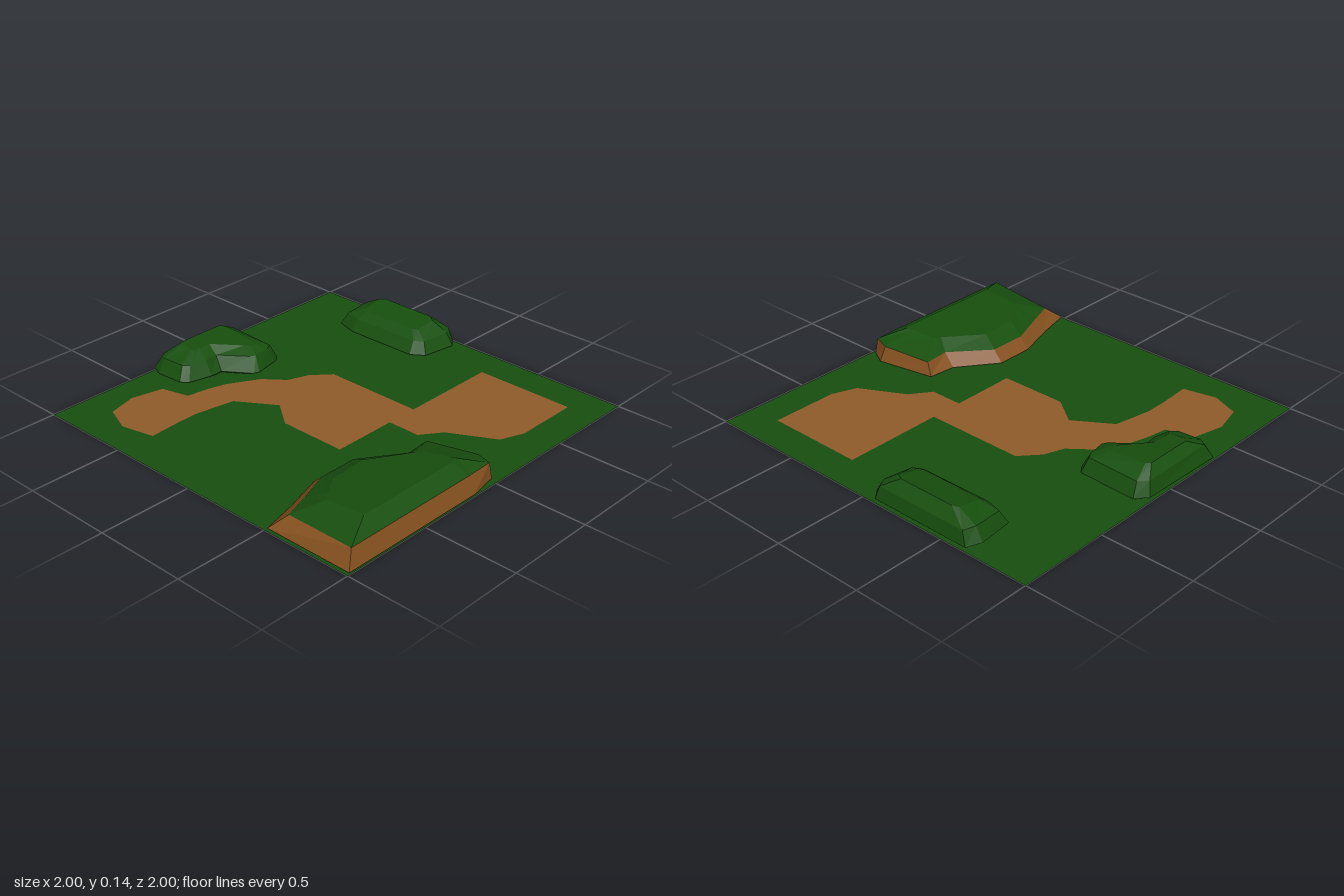
import * as THREE from 'three';

const GRASS = 0x174f0e, DIRT = 0x905c2b, CLIFF = 0x84501f;

const material = (color) =>
  new THREE.MeshStandardMaterial({ color, flatShading: true, side: THREE.DoubleSide });

function addMesh(group, name, geometry, color) {
  const mesh = new THREE.Mesh(geometry, material(color));
  mesh.name = name;
  group.add(mesh);
}

// Ring of points from [x, z] pairs; height is a number or a function of x and z
const ring = (pairs, height) => pairs.map(([x, z]) =>
  new THREE.Vector3(x, typeof height === 'number' ? height : height(x, z), z));

// Shrinks a ring towards its centre, for the tucked-in underside
function inset(points, scale, y) {
  const c = points.reduce((s, p) => s.add(p), new THREE.Vector3()).divideScalar(points.length);
  return points.map((p) => new THREE.Vector3(c.x + (p.x - c.x) * scale, y, c.z + (p.z - c.z) * scale));
}

// Joins rings (clockwise from above, bottom to top) and optionally caps the ends
function loft(rings, { top = false, bottom = false }) {
  const pos = [];
  const tri = (a, b, c) => [a, b, c].forEach((p) => pos.push(p.x, p.y, p.z));
  for (let r = 0; r < rings.length - 1; r++) {
    const lo = rings[r], hi = rings[r + 1], n = lo.length;
    for (let i = 0; i < n; i++) {
      const j = (i + 1) % n;
      tri(lo[i], hi[i], lo[j]);
      tri(lo[j], hi[i], hi[j]);
    }
  }
  const cap = (points, up) => {
    const flat = points.map((p) => new THREE.Vector2(p.x, p.z));
    for (const [i, j, k] of THREE.ShapeUtils.triangulateShape(flat, [])) {
      const a = points[i], b = points[j], c = points[k];
      const ny = (b.z - a.z) * (c.x - a.x) - (b.x - a.x) * (c.z - a.z);
      if ((ny > 0) === up) tri(a, b, c); else tri(a, c, b);
    }
  };
  if (top) cap(rings[rings.length - 1], true);
  if (bottom) cap(rings[0], false);
  const geometry = new THREE.BufferGeometry();
  geometry.setAttribute('position', new THREE.Float32BufferAttribute(pos, 3));
  geometry.computeVertexNormals();
  return geometry;
}

export function createModel() {
  const model = new THREE.Group();
  model.name = 'terrainTile';

  // Flat grass square with the dirt path set into it
  const pathPoints = [
    [0.27, -0.82], [0.82, -0.82], [0.82, -0.46], [0.77, -0.33], [0.53, -0.20], [0.45, -0.09],
    [0.27, -0.09], [0.27, 0.27], [-0.10, 0.27], [-0.25, 0.16], [-0.45, 0.29], [-0.49, 0.50],
    [-0.49, 0.62], [-0.48, 0.80], [-0.66, 0.84], [-0.81, 0.78], [-0.85, 0.62], [-0.81, 0.45],
    [-0.66, 0.41], [-0.64, 0.29], [-0.61, 0.19], [-0.52, 0.03], [-0.41, -0.06], [-0.37, -0.17],
    [-0.28, -0.27], [0.27, -0.27],
  ].map(([x, z]) => new THREE.Vector2(x, -z));
  const square = new THREE.Shape([[-1, -1], [1, -1], [1, 1], [-1, 1]].map((p) => new THREE.Vector2(...p)));
  square.holes.push(new THREE.Path(pathPoints));
  const flat = (shape) => new THREE.ShapeGeometry(shape).rotateX(-Math.PI / 2);
  addMesh(model, 'grassGround', flat(square), GRASS);
  addMesh(model, 'dirtPath', flat(new THREE.Shape(pathPoints)), DIRT);

  // Hill: earth cliff band below a sloping grass top
  const foot = ring([
    [0.56, 0.0], [0.88, -0.06], [0.97, -0.01], [1.0, 0.15], [1.0, 0.99],
    [0.51, 0.99], [0.46, 0.79], [0.39, 0.57], [0.39, 0.36], [0.545, 0.15],
  ], 0.01);
  const rim = ring([
    [0.60, 0.02], [0.87, -0.03], [0.96, 0.0], [0.965, 0.15], [0.965, 0.94],
    [0.57, 0.915], [0.52, 0.77], [0.45, 0.58], [0.45, 0.37], [0.61, 0.16],
  ], (x) => 0.065 + (x - 0.45) * 0.06);
  const crest = ring([
    [0.70, 0.17], [0.83, 0.14], [0.87, 0.13], [0.88, 0.17], [0.88, 0.77],
    [0.66, 0.77], [0.62, 0.72], [0.55, 0.61], [0.54, 0.40], [0.68, 0.20],
  ], (x) => 0.113 + (x - 0.54) * 0.08);
  const hill = new THREE.Group();
  hill.name = 'hill';
  addMesh(hill, 'hillCliff', loft([inset(foot, 0.8, 0.003), foot, rim], { bottom: true }), CLIFF);
  addMesh(hill, 'hillGrass', loft([rim, crest], { top: true }), GRASS);
  model.add(hill);

  // Bushes: base, shoulder and crown outlines
  const bush = (name, base, shoulder, crown) => {
    const foot = ring(base, 0.015);
    const rings = [inset(foot, 0.75, 0.003), foot, ring(...shoulder), ring(...crown)];
    addMesh(model, name, loft(rings, { top: true, bottom: true }), GRASS);
  };

  bush('backBush', [
    [-0.67, -0.91], [-0.64, -0.99], [-0.07, -0.99], [-0.02, -0.93],
    [-0.05, -0.74], [-0.12, -0.69], [-0.53, -0.685], [-0.65, -0.72],
  ], [[
    [-0.63, -0.91], [-0.61, -0.975], [-0.09, -0.975], [-0.06, -0.92],
    [-0.08, -0.76], [-0.13, -0.73], [-0.53, -0.725], [-0.62, -0.75],
  ], (x, z) => 0.085 - Math.max(0, z + 0.8) * 0.1], [[
    [-0.53, -0.91], [-0.50, -0.925], [-0.18, -0.925], [-0.14, -0.90],
    [-0.15, -0.79], [-0.18, -0.775], [-0.50, -0.775], [-0.53, -0.79],
  ], (x, z) => 0.14 - (z + 0.925) * 0.16]);

  bush('leftBush', [
    [-0.99, -0.14], [-0.94, -0.20], [-0.62, -0.19], [-0.59, -0.15], [-0.56, 0.0], [-0.57, 0.03],
    [-0.71, 0.13], [-0.71, 0.20], [-0.74, 0.33], [-0.78, 0.36], [-0.93, 0.37], [-1.0, 0.34],
  ], [[
    [-0.97, -0.12], [-0.93, -0.165], [-0.64, -0.155], [-0.62, -0.12], [-0.605, -0.02], [-0.62, 0.01],
    [-0.76, 0.12], [-0.75, 0.20], [-0.77, 0.29], [-0.80, 0.32], [-0.93, 0.33], [-0.97, 0.30],
  ], 0.09], [[
    [-0.93, -0.06], [-0.91, -0.08], [-0.70, -0.08], [-0.67, -0.07], [-0.67, -0.04], [-0.69, -0.02],
    [-0.82, 0.11], [-0.82, 0.18], [-0.82, 0.21], [-0.84, 0.22], [-0.91, 0.22], [-0.93, 0.20],
  ], (x) => 0.14 - (x + 0.93) * 0.09]);

  return model;
}
